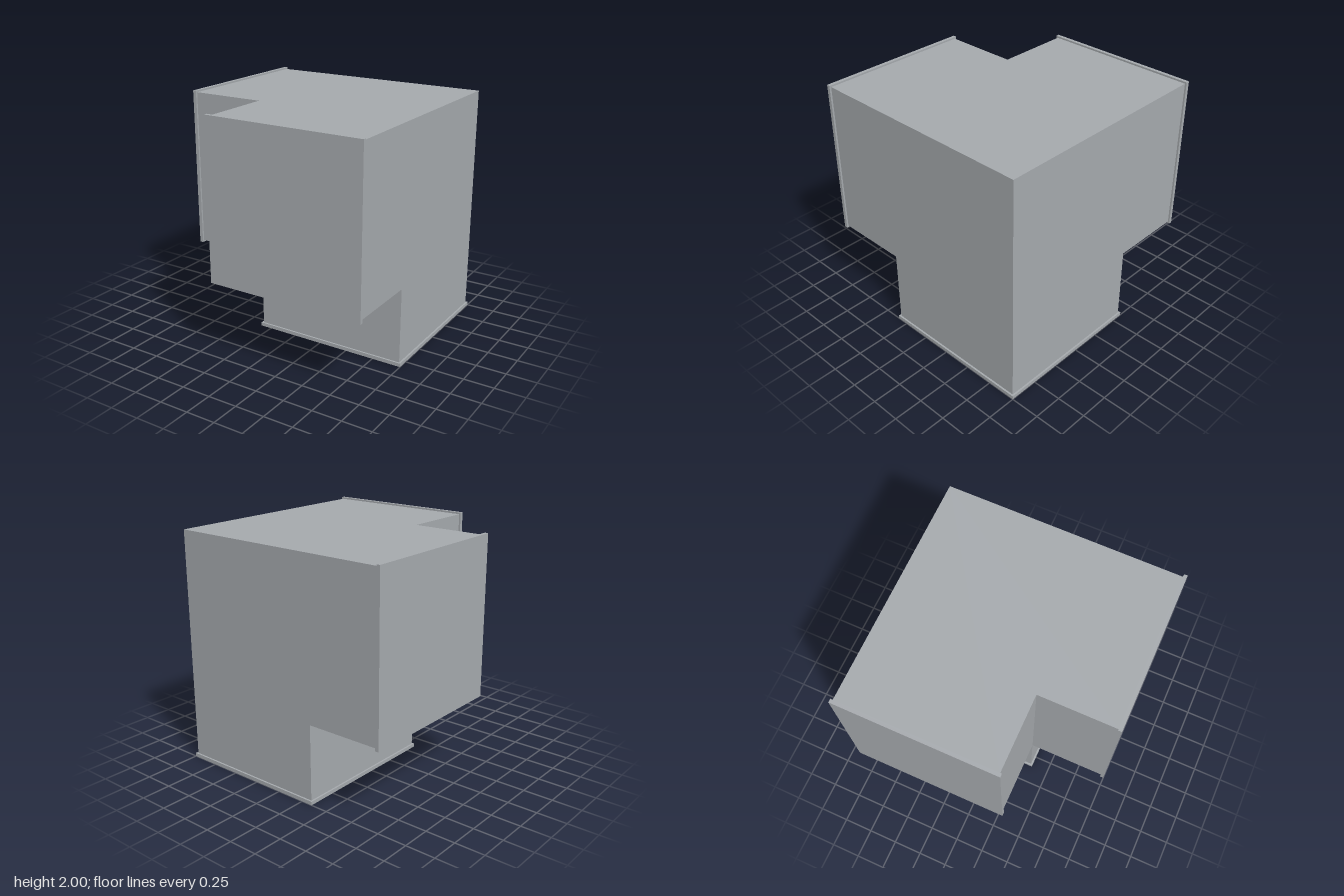
import * as THREE from 'three';
import { mergeGeometries } from 'three/addons/utils/BufferGeometryUtils.js';

// Three-way corner duct: three square arms meeting in a cubic elbow.
// Built with the arms along +x, +y, +z, then turned into place.
const OUT = -0.985;  // outer wall
const IN = 0.335;    // inner wall, at the notches
const END = 0.97;    // arm end, where the flange starts

// One third of the walls: an L-shaped outer panel and the two inner walls of the z arm
function wallGeometry() {
  const shape = new THREE.Shape([
    [OUT, OUT], [END, OUT], [END, IN], [IN, IN], [IN, END], [OUT, END],
  ].map(([x, y]) => new THREE.Vector2(x, y)));
  const outer = new THREE.ShapeGeometry(shape)
    .rotateX(Math.PI).rotateZ(Math.PI / 2).translate(0, 0, OUT);

  const side = IN - OUT, length = END - IN;
  const mid = (IN + OUT) / 2, midLength = (END + IN) / 2;
  const innerX = new THREE.PlaneGeometry(length, side)
    .rotateY(Math.PI / 2).translate(IN, mid, midLength);
  const innerY = new THREE.PlaneGeometry(side, length)
    .rotateX(-Math.PI / 2).translate(mid, IN, midLength);
  return mergeGeometries([outer, innerX, innerY]);
}

export function createModel() {
  const metal = new THREE.MeshStandardMaterial({ color: 0xa5a9ad });
  metal.name = 'galvanised grey';

  const walls = wallGeometry();
  const flange = new THREE.BoxGeometry(1.35, 1.35, 0.03).translate(-0.325, -0.325, 0.985);

  const duct = new THREE.Group();
  duct.name = 'cornerDuct';
  const axis = new THREE.Vector3(1, 1, 1).normalize();

  // Repeat the arm around the cube's diagonal
  ['front', 'right', 'bottom'].forEach((name, i) => {
    const arm = new THREE.Group();
    arm.name = name + 'Arm';
    const wallMesh = new THREE.Mesh(walls, metal);
    wallMesh.name = name + 'Walls';
    const flangeMesh = new THREE.Mesh(flange, metal);
    flangeMesh.name = name + 'Flange';
    arm.add(wallMesh, flangeMesh);
    arm.quaternion.setFromAxisAngle(axis, i * Math.PI * 2 / 3);
    duct.add(arm);
  });

  // Point the arms to -x, down and the front
  duct.rotation.z = Math.PI;
  duct.position.y = 1;

  const model = new THREE.Group();
  model.name = 'model';
  model.add(duct);
  return model;
}
